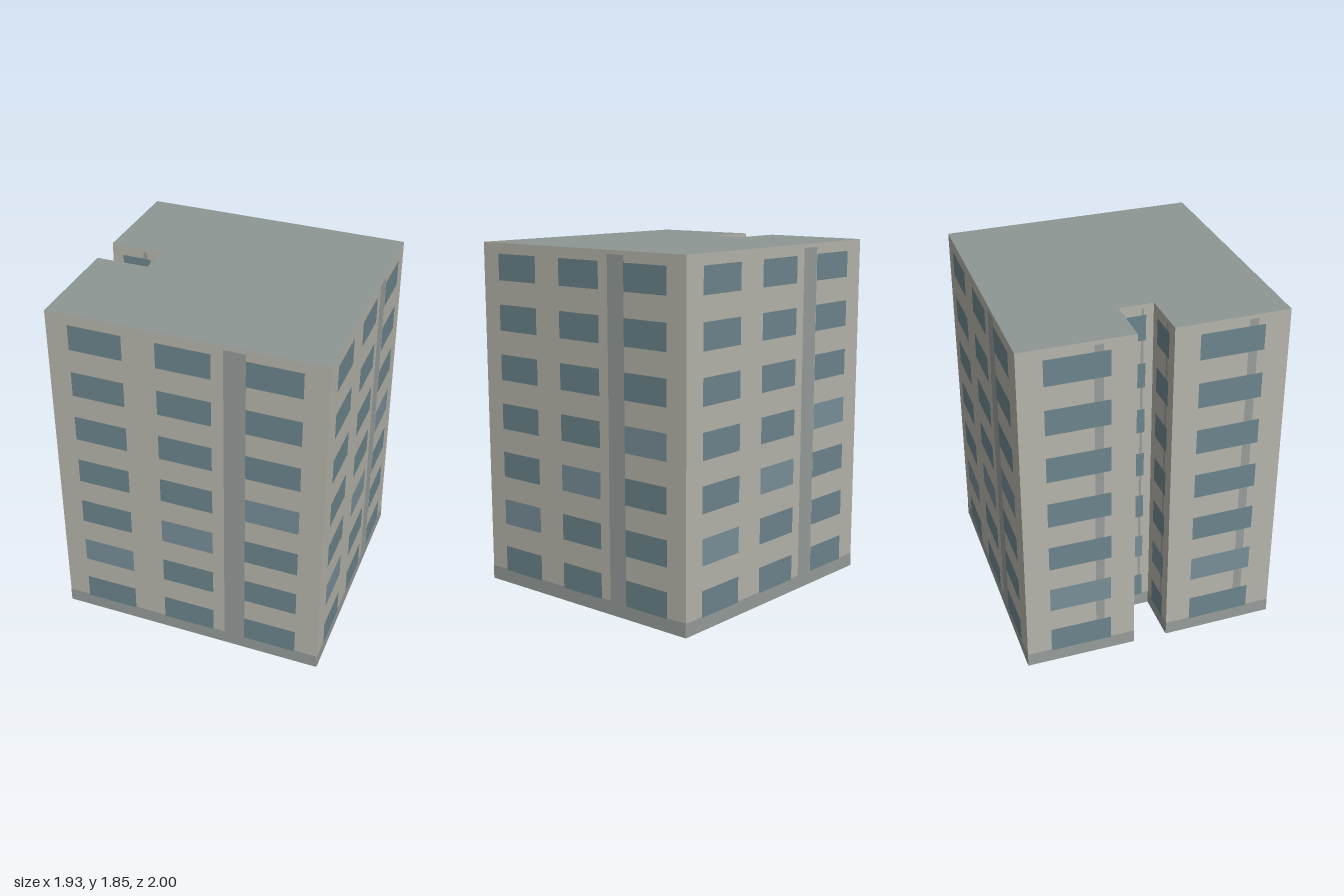
import * as THREE from 'three';

const HEIGHT = 1.85;
const ROWS = 7;

// Footprint corners [x, z], counter-clockwise seen from above, with a notch in the back wall
const CORNERS = [
  [-0.133, 0.998], [0.965, 0.183], [0.14, -0.998], [-0.335, -0.655],
  [-0.175, -0.425], [-0.32, -0.316], [-0.484, -0.546], [-0.965, -0.189],
];

const paint = (color, side = THREE.FrontSide) => new THREE.MeshStandardMaterial({ color, side });

export function createModel() {
  const building = new THREE.Group();
  building.name = 'apartmentBlock';

  const wallPaint = paint(0xb5b4aa, THREE.DoubleSide);
  const roofPaint = paint(0x8e9795, THREE.DoubleSide);
  const trimPaint = paint(0x969c9a);
  const glassPaint = paint(0x6c848c);
  const lightGlassPaint = paint(0x788e98);

  // One facade per footprint edge; u runs 0..1 from left to right seen from outside
  CORNERS.forEach(([x0, z0], i) => {
    const [x1, z1] = CORNERS[(i + 1) % CORNERS.length];
    const length = Math.hypot(x1 - x0, z1 - z0);
    const facade = new THREE.Group();
    facade.name = `facade${i + 1}`;
    facade.position.set(x0, 0, z0);
    facade.rotation.y = Math.atan2(z0 - z1, x1 - x0);
    building.add(facade);

    const panel = (name, material, u0, u1, y0, y1, lift) => {
      const mesh = new THREE.Mesh(new THREE.PlaneGeometry((u1 - u0) * length, y1 - y0), material);
      mesh.position.set(((u0 + u1) / 2) * length, (y0 + y1) / 2, lift);
      mesh.name = name;
      facade.add(mesh);
    };

    panel('wall', wallPaint, 0, 1, 0, HEIGHT, 0);
    panel('plinth', trimPaint, 0, 1, 0, 0.075, 0.0015);
    panel('verticalStrip', trimPaint, 0.64, 0.718, 0.075, 1.83, 0.0015);

    // Long walls carry three window columns, short ones a single wide column
    const columns = length > 1
      ? [[0.082, 0.279], [0.4, 0.597], [0.718, 0.914]]
      : [[0.22, 0.78]];
    for (let row = 0; row < ROWS; row++) {
      const y = 0.07 + row * 0.2643;
      columns.forEach(([u0, u1], column) => {
        const glass = row === column + 1 ? lightGlassPaint : glassPaint;
        panel('window', glass, u0, u1, y, y + 0.138, 0.003);
      });
    }
  });

  // Flat roof; the underside of the block stays open
  const outline = new THREE.Shape(CORNERS.map(([x, z]) => new THREE.Vector2(x, -z)));
  const roof = new THREE.Mesh(new THREE.ShapeGeometry(outline).rotateX(-Math.PI / 2), roofPaint);
  roof.position.y = HEIGHT;
  roof.name = 'roof';
  building.add(roof);

  return building;
}
